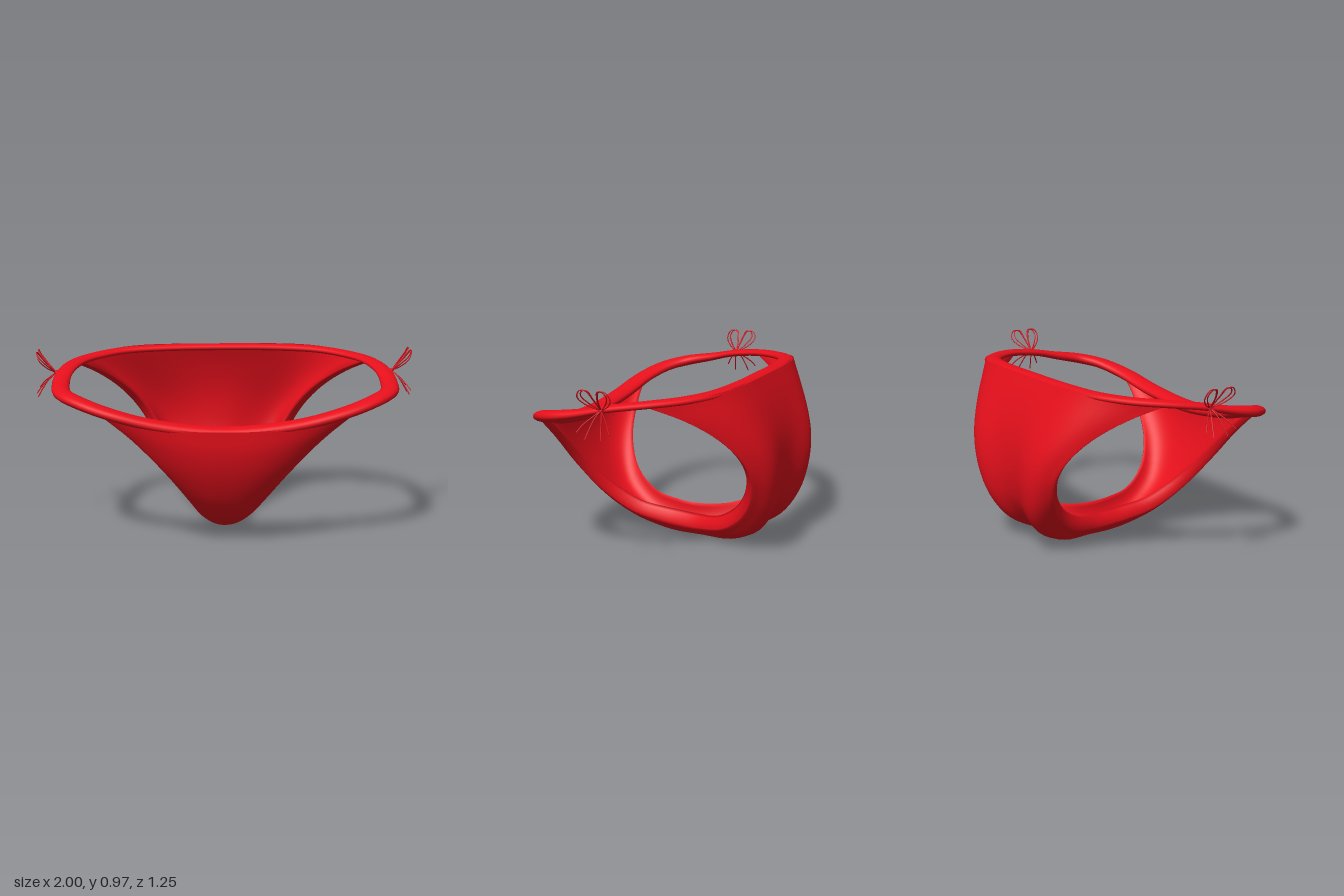
import * as THREE from 'three';

const V = (x, y, z) => new THREE.Vector3(x, y, z);
const red = new THREE.MeshStandardMaterial({ color: 0xe8101c, side: THREE.DoubleSide });
const cordRed = new THREE.MeshStandardMaterial({ color: 0xd0101c });

// Skin a list of closed rings of points
function loft(rings, closed) {
  const n = rings[0].length, m = rings.length, index = [];
  for (let i = 0; i < (closed ? m : m - 1); i++) {
    for (let j = 0; j < n; j++) {
      const k = (j + 1) % n, r = (i + 1) % m;
      const a = i * n + j, b = i * n + k, c = r * n + j, d = r * n + k;
      index.push(a, c, b, b, c, d);
    }
  }
  const g = new THREE.BufferGeometry().setFromPoints(rings.flat());
  g.setIndex(index);
  g.computeVertexNormals();
  return g;
}

// Panel stations, front waist to back waist: centre y, z, then leg edge x, y, z
const stations = [
  [0.645, 0.628, 0.67, 0.74, 0.545], [0.52, 0.612, 0.49, 0.59, 0.535],
  [0.36, 0.552, 0.325, 0.41, 0.5], [0.18, 0.432, 0.2, 0.235, 0.405],
  [0.07, 0.272, 0.135, 0.115, 0.255], [0.02, 0.13, 0.115, 0.075, 0.11],
  [0.003, 0.02, 0.112, 0.06, 0], [0.03, -0.15, 0.135, 0.06, -0.14],
  [0.06, -0.31, 0.205, 0.095, -0.3], [0.13, -0.47, 0.28, 0.195, -0.44],
  [0.24, -0.55, 0.355, 0.32, -0.52], [0.37, -0.585, 0.42, 0.45, -0.545],
  [0.5, -0.59, 0.485, 0.56, -0.52], [0.64, -0.575, 0.58, 0.68, -0.44],
  [0.8, -0.53, 0.7, 0.79, -0.31], [0.925, -0.48, 0.825, 0.88, -0.13],
];

// One sheet runs from front to back, with thick rolled leg edges
function panelGeometry() {
  const centre = new THREE.CatmullRomCurve3(stations.map(s => V(0, s[0], s[1])));
  const edge = new THREE.CatmullRomCurve3(stations.map(s => V(s[2], s[3], s[4])));
  const rows = 60, cols = 36, rings = [];
  for (let i = 0; i <= rows; i++) {
    const t = i / rows, c = centre.getPoint(t), e = edge.getPoint(t);
    const back = THREE.MathUtils.smoothstep(t, 0.38, 0.56);
    const power = 2.4 + 2.2 * back;
    const lobe = 0.042 * back * (1 - THREE.MathUtils.smoothstep(t, 0.78, 0.97));
    const inward = p => V(-1.5 * p.x, Math.max(0, 0.55 - p.y), -p.z).normalize();
    const outer = s => {
      const a = Math.abs(s), f = a ** power;
      const p = V(e.x * s, c.y + (e.y - c.y) * f, c.z + (e.z - c.z) * f);
      return p.addScaledVector(inward(p), -lobe * Math.sin(Math.PI * a ** 1.3) ** 2);
    };
    const roll = 0.035 + 0.035 * Math.sin(Math.PI * t);
    const thick = s => 0.02 + roll * Math.abs(s) ** 5;
    const rim = side => [0.25, 0.5, 0.75].map(k => {
      const p = outer(side), w = thick(1);
      p.addScaledVector(inward(p), w * (1 - Math.cos(Math.PI * k)) / 2);
      p.x += side * 0.014 * Math.sin(Math.PI * k);
      return p;
    });
    const out = [], inn = [];
    for (let j = 0; j <= cols; j++) {
      const s = -1 + 2 * j / cols, p = outer(s);
      out.push(p);
      inn.unshift(p.clone().addScaledVector(inward(p), thick(s)));
    }
    rings.push([...out, ...rim(1), ...inn, ...rim(-1).reverse()]);
  }
  return loft(rings, false);
}

// Flat rounded band around the waist, flush with the panel, deepest at the front straps
function waistbandGeometry() {
  const half = [
    [0, 0.632, 0.565], [0.35, 0.664, 0.556], [0.6, 0.722, 0.525], [0.76, 0.768, 0.45],
    [0.845, 0.793, 0.35], [0.866, 0.822, 0.2], [0.855, 0.856, 0.05], [0.802, 0.88, -0.13],
    [0.7, 0.892, -0.275], [0.55, 0.903, -0.382], [0.3, 0.91, -0.43], [0, 0.912, -0.438],
  ].map(p => V(...p));
  const mirrored = half.slice(1, -1).reverse().map(p => V(-p.x, p.y, p.z));
  const path = new THREE.CatmullRomCurve3([...half, ...mirrored], true);
  const rings = [], up = V(0, 1, 0);
  for (let i = 0; i < 96; i++) {
    const p = path.getPoint(i / 96), n = path.getTangent(i / 96).cross(up).normalize();
    const w = 0.046 + 0.014 * Math.max(0, p.z / 0.56) ** 3;
    const h = 0.019 + 0.011 * THREE.MathUtils.smoothstep(p.z, 0.05, 0.4);
    rings.push(Array.from({ length: 14 }, (_, j) => {
      const a = j / 14 * Math.PI * 2;
      return p.clone().addScaledVector(n, w * Math.cos(a)).addScaledVector(up, h * Math.sin(a));
    }));
  }
  return loft(rings, true);
}

// Thin cord bow: two double loops above, four tails below
function makeBow(side) {
  const bow = new THREE.Group();
  bow.name = side > 0 ? 'leftBow' : 'rightBow';
  const cord = (name, pts) => {
    const curve = new THREE.CatmullRomCurve3(
      pts.map(([x, y, z]) => V(side * (0.902 + x), 0.856 + y, 0.055 + z)));
    const mesh = new THREE.Mesh(new THREE.TubeGeometry(curve, 28, 0.0032, 6), cordRed);
    mesh.name = name;
    bow.add(mesh);
  };
  for (const d of [1, -1]) {
    for (const [w, lift] of [[1, 0], [0.78, 0.01]]) {
      cord('bowLoop', [
        [0, 0, 0], [0.045, 0.035 + lift, 0.06 * d * w], [0.08, 0.075 + lift, 0.088 * d * w],
        [0.095, 0.112, 0.07 * d * w], [0.093, 0.113, 0.035 * d * w],
        [0.065, 0.07, 0.014 * d * w], [0, 0, 0],
      ]);
    }
    for (const [z, y] of [[0.088, -0.095], [0.042, -0.125]]) {
      cord('bowTail', [[0, 0, 0], [0.035, -0.03, z * 0.4 * d],
        [0.07, y * 0.65, z * 0.75 * d], [0.095, y, z * d]]);
    }
  }
  const knot = new THREE.Mesh(new THREE.SphereGeometry(0.012, 12, 8), cordRed);
  knot.name = 'bowKnot';
  knot.position.set(side * 0.902, 0.856, 0.055);
  bow.add(knot);
  return bow;
}

export function createModel() {
  const model = new THREE.Group();
  model.name = 'swimBottom';
  const panel = new THREE.Mesh(panelGeometry(), red);
  panel.name = 'panel';
  const band = new THREE.Mesh(waistbandGeometry(), red);
  band.name = 'waistband';
  model.add(panel, band, makeBow(1), makeBow(-1));
  return model;
}
